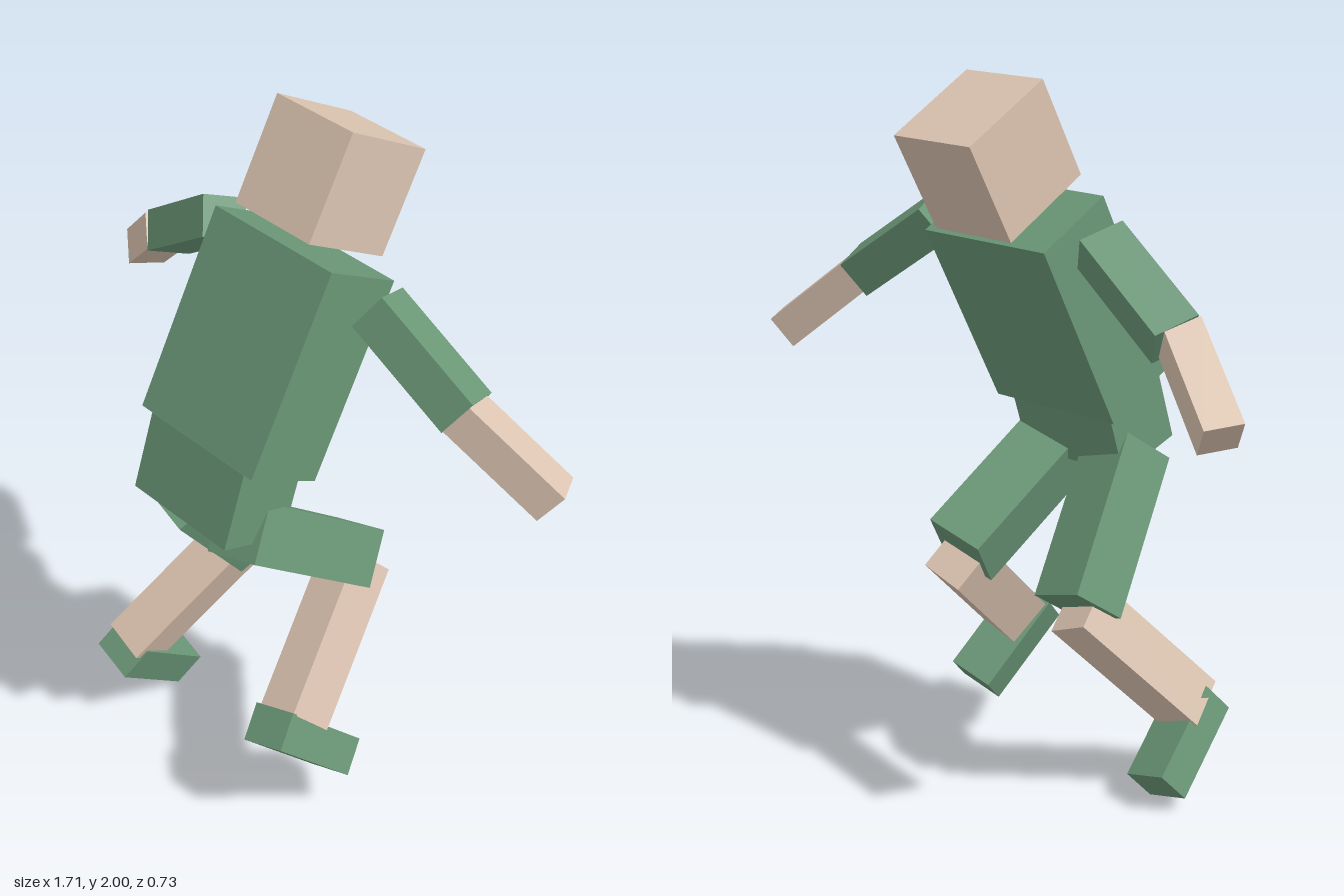
import * as THREE from 'three';

const cloth = new THREE.MeshStandardMaterial({ color: 0x6b9777 });
cloth.name = 'greenCloth';
const skin = new THREE.MeshStandardMaterial({ color: 0xdcc4b1 });
skin.name = 'skin';

// A block running from point a to point b. Its width lies along the side
// direction (squared up to the run), its depth along the third direction.
function block(name, material, a, b, side, width, depth) {
  const start = new THREE.Vector3(...a);
  const end = new THREE.Vector3(...b);
  const run = end.clone().sub(start);
  const length = run.length();
  run.normalize();
  const across = new THREE.Vector3(...side);
  across.addScaledVector(run, -across.dot(run)).normalize();
  const out = across.clone().cross(run);
  const mesh = new THREE.Mesh(new THREE.BoxGeometry(width, length, depth), material);
  mesh.quaternion.setFromRotationMatrix(new THREE.Matrix4().makeBasis(across, run, out));
  mesh.position.copy(start).add(end).multiplyScalar(0.5);
  mesh.name = name;
  return mesh;
}

export function createModel() {
  const model = new THREE.Group();
  model.name = 'runningFigure';
  const add = (...args) => model.add(block(...args));
  const X = [1, 0, 0];

  // Head, torso and pelvis, leaning together
  add('head', skin, [0, 1.671, -0.097], [0, 1.93, -0.24], X, 0.275, 0.295);
  add('torso', cloth, [0, 1.132, 0.19], [0, 1.638, -0.08], X, 0.437, 0.25);
  add('pelvis', cloth, [0, 0.94, 0.263], [0, 1.15, 0.193], X, 0.367, 0.215);

  // Arms, mirrored
  for (const [label, s] of [['left', 1], ['right', -1]]) {
    const m = ([x, y, z]) => [s * x, y, z];
    add(label + 'UpperArm', cloth, m([0.29, 1.593, -0.06]), m([0.576, 1.403, -0.097]),
      m([-0.036, -0.043, -0.115]), 0.128, 0.114);
    add(label + 'Forearm', skin, m([0.572, 1.417, -0.081]), m([0.804, 1.214, -0.191]),
      m([-0.054, -0.009, -0.09]), 0.105, 0.101);
  }

  // Legs in mid stride, each with its own pose; feet run from heel to toe
  const legs = [
    {
      label: 'left', hip: [0.115, 0.95, 0.257], thighEnd: [0.16, 0.675, -0.128],
      knee: [0.163, 0.656, -0.137], ankle: [0.293, 0.356, 0.218],
      heel: [0.289, 0.378, 0.309], toe: [0.331, 0.166, 0.092],
      thighSide: [0.17, 0.05, -0.015], shinSide: [0.126, 0.045, -0.008],
      footSide: [0.13, 0.042, -0.016],
    },
    {
      label: 'right', hip: [-0.117, 0.95, 0.25], thighEnd: [-0.202, 0.58, -0.04],
      knee: [-0.202, 0.58, -0.04], ankle: [-0.348, 0.238, 0.27],
      heel: [-0.343, 0.247, 0.321], toe: [-0.379, 0.059, 0.093],
      thighSide: [-0.18, 0.047, -0.02], shinSide: [-0.121, 0.04, 0],
      footSide: [-0.135, 0.037, -0.01],
    },
  ];
  for (const leg of legs) {
    add(leg.label + 'Thigh', cloth, leg.hip, leg.thighEnd, leg.thighSide, 0.18, 0.166);
    add(leg.label + 'Shin', skin, leg.knee, leg.ankle, leg.shinSide, 0.132, 0.146);
    add(leg.label + 'Foot', cloth, leg.heel, leg.toe, leg.footSide, 0.14, 0.108);
  }
  return model;
}
